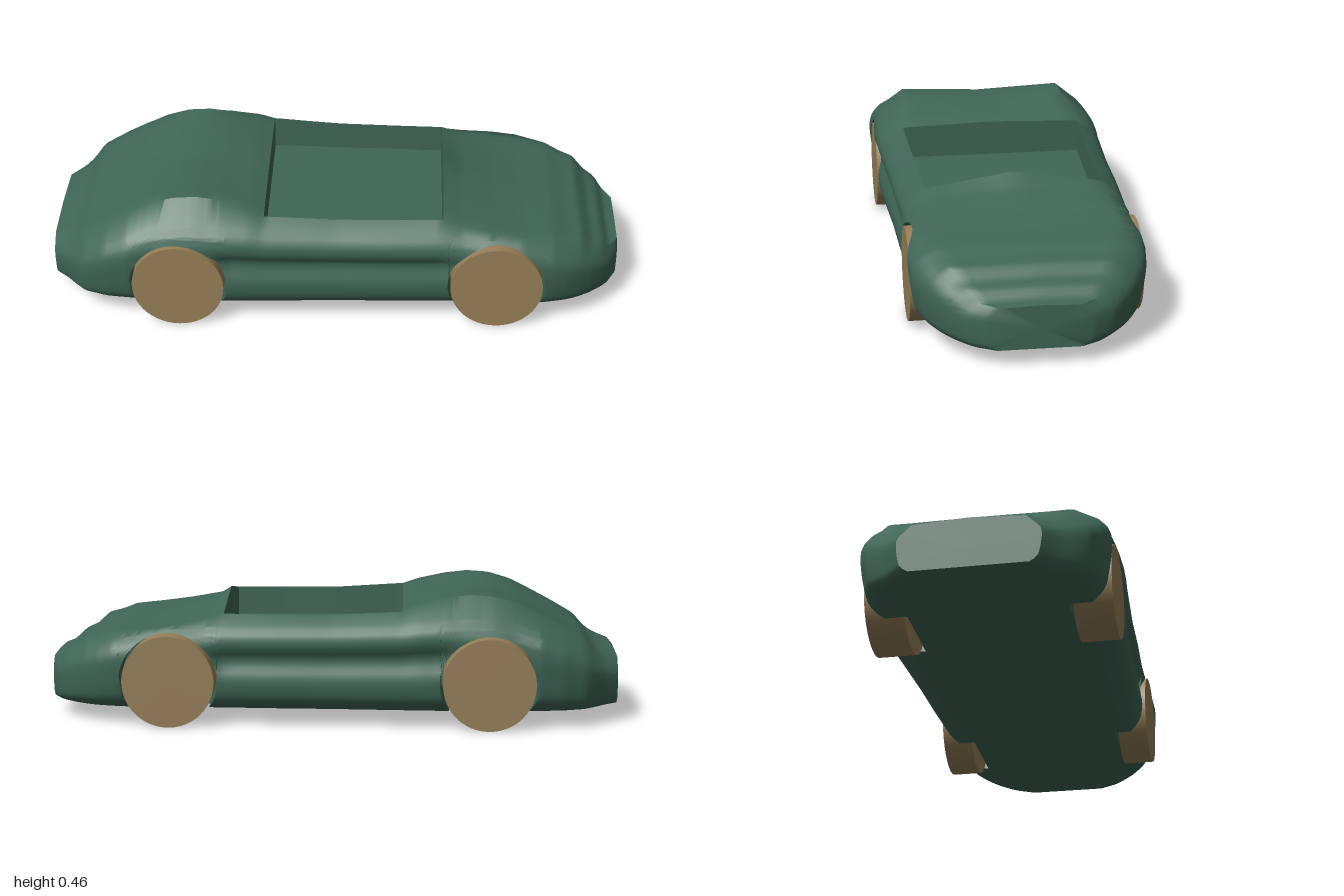
import * as THREE from 'three';
import { toCreasedNormals } from 'three/addons/utils/BufferGeometryUtils.js';

const BOTTOM = 0.06, FLOOR = 0.285, ARCH_R = 0.17, ARCH_Z = 0.27, AXLE_Y = 0.16;
const WHEELS = [
  { name: 'rear', x: -0.545, outer: 0.415 },
  { name: 'front', x: 0.565, outer: 0.39 },
];

// Piecewise linear lookup in column c of a key table
function look(table, t, c = 1) {
  let i = 1;
  while (i < table.length - 1 && table[i][0] < t) i++;
  const a = table[i - 1], b = table[i];
  const f = THREE.MathUtils.clamp((t - a[0]) / (b[0] - a[0]), 0, 1);
  return a[c] + (b[c] - a[c]) * f;
}

// Stations: x, half width, shoulder height, deck edge height, deck centre height
const STATIONS = [
  [-1, 0.235, 0.20, 0.225, 0.235],
  [-0.95, 0.285, 0.215, 0.24, 0.248],
  [-0.92, 0.325, 0.23, 0.255, 0.262],
  [-0.88, 0.37, 0.26, 0.298, 0.302],
  [-0.8, 0.405, 0.31, 0.345, 0.34],
  [-0.72, 0.42, 0.345, 0.388, 0.38],
  [-0.64, 0.413, 0.37, 0.428, 0.415],
  [-0.56, 0.418, 0.385, 0.452, 0.436],
  [-0.48, 0.42, 0.388, 0.457, 0.44],
  [-0.4, 0.42, 0.385, 0.447, 0.437],
  [-0.3, 0.417, 0.378, 0.422, 0.428],
  [-0.245, 0.413, 0.37, 0.402, 0.412],
  [0, 0.4, 0.36, 0.388, 0.4],
  [0.2, 0.395, 0.358, 0.387, 0.4],
  [0.375, 0.387, 0.356, 0.388, 0.437],
  [0.44, 0.388, 0.35, 0.368, 0.395],
  [0.55, 0.4, 0.34, 0.347, 0.358],
  [0.65, 0.406, 0.325, 0.333, 0.337],
  [0.76, 0.388, 0.302, 0.323, 0.325],
  [0.81, 0.37, 0.282, 0.305, 0.307],
  [0.86, 0.342, 0.265, 0.295, 0.298],
  [0.9, 0.312, 0.24, 0.258, 0.262],
  [0.94, 0.272, 0.22, 0.243, 0.248],
  [0.965, 0.24, 0.195, 0.212, 0.216],
  [1, 0.165, 0.185, 0.205, 0.21],
];
// Flank shape: height fraction, width on fenders, width on doors
const FLANK = [
  [0, 0.83, 0.85], [0.08, 0.91, 0.93], [0.18, 0.955, 0.97], [0.32, 0.975, 0.985],
  [0.42, 0.985, 0.975], [0.52, 0.993, 0.94], [0.62, 1, 0.935], [0.72, 1, 0.985],
  [0.8, 0.995, 1], [0.9, 0.965, 0.98], [1, 0.9, 0.91],
];

// Half cross-section from the bottom centre, round the flank, to the top centre
function halfSection({ x, wheel, cockpit }) {
  const [W, ys, yr, yc] = [1, 2, 3, 4].map((c) => look(STATIONS, x, c));
  const door = THREE.MathUtils.smoothstep(0.5 - Math.abs(x), 0, 0.15);
  const width = (y) => {
    const t = (y - BOTTOM) / (ys - BOTTOM);
    return W * THREE.MathUtils.lerp(look(FLANK, t, 1), look(FLANK, t, 2), door);
  };
  let low = BOTTOM, inner = width(BOTTOM);
  if (wheel) {
    const dx = x - wheel.x;
    low = Math.min(AXLE_Y + Math.sqrt(Math.max(0, ARCH_R ** 2 - dx ** 2)), ys - 0.006);
    inner = ARCH_Z;
  }
  const pts = [[0, BOTTOM], [inner, BOTTOM], [inner, low]];
  const n = 18;
  for (let i = 0; i <= n; i++) {
    const y = low + (ys - low) * i / n;
    pts.push([width(y), y]);
  }
  const hump = THREE.MathUtils.smoothstep(-x, 0.245, 0.45);
  const rim = Math.min(0.325 - 0.03 * hump, 0.79 * W);
  pts.push([rim, yr]);
  for (let i = 0; i <= 6; i++) {
    const f = i / 6;
    pts.push([rim * (1 - f), cockpit ? FLOOR : yr + (yc - yr) * f]);
  }
  return pts;
}

// Curve the lower arch edges in around each tyre
function wrapArch(x, y) {
  for (const w of WHEELS) {
    const d = Math.abs(x - w.x) - ARCH_R;
    if (d > -1e-4 && d < 0.1 && y < AXLE_Y) {
      const pull = ARCH_R - Math.sqrt(ARCH_R ** 2 - (AXLE_Y - y) ** 2);
      return x - Math.sign(x - w.x) * pull * (1 - Math.max(0, d) / 0.1);
    }
  }
  return x;
}

function bodyGeometry() {
  // Segments along the car; doubled columns make the arch and cockpit walls
  const columns = [];
  const segment = (a, b, n, extra = {}) => {
    for (let i = 0; i <= n; i++) {
      const f = extra.wheel ? (1 - Math.cos(Math.PI * i / n)) / 2 : i / n;
      columns.push({ x: a + (b - a) * f, ...extra });
    }
  };
  const [rear, front] = WHEELS;
  segment(-1, rear.x - ARCH_R, 20);
  segment(rear.x - ARCH_R, rear.x + ARCH_R, 24, { wheel: rear });
  segment(rear.x + ARCH_R, -0.245, 8);
  segment(-0.245, 0.375, 24, { cockpit: true });
  segment(0.375, front.x - ARCH_R, 2);
  segment(front.x - ARCH_R, front.x + ARCH_R, 24, { wheel: front });
  segment(front.x + ARCH_R, 1, 24);

  const rings = columns.map((col) => {
    const half = halfSection(col);
    const other = half.slice(1, -1).reverse().map(([z, y]) => [-z, y]);
    return [...half, ...other].map(([z, y]) => new THREE.Vector3(wrapArch(col.x, y), y, z));
  });
  // Flat end caps
  const cap = (x) => rings[0].map(() => new THREE.Vector3(x, 0.13, 0));
  rings.unshift(cap(-1));
  rings.push(cap(1));

  const pos = [], ab = new THREE.Vector3(), ac = new THREE.Vector3();
  const tri = (a, b, c) => {
    const area = ab.subVectors(b, a).cross(ac.subVectors(c, a)).length();
    if (area > 1e-8) for (const p of [a, b, c]) pos.push(p.x, p.y, p.z);
  };
  for (let i = 0; i < rings.length - 1; i++) {
    const A = rings[i], B = rings[i + 1];
    for (let j = 0; j < A.length; j++) {
      const k = (j + 1) % A.length;
      tri(A[j], B[j], B[k]);
      tri(A[j], B[k], A[k]);
    }
  }
  const geo = new THREE.BufferGeometry();
  geo.setAttribute('position', new THREE.Float32BufferAttribute(pos, 3));
  return toCreasedNormals(geo, 0.7);
}

export function createModel() {
  const green = new THREE.MeshStandardMaterial({ color: 0x3f6656 });
  green.name = 'body green';
  const tan = new THREE.MeshStandardMaterial({ color: 0x967f59 });
  tan.name = 'wheel tan';

  const car = new THREE.Group();
  car.name = 'openCar';

  // Shell with cockpit and wheel arches
  const body = new THREE.Mesh(bodyGeometry(), green);
  body.name = 'body';
  car.add(body);

  // Plain disc wheels
  for (const w of WHEELS) {
    const depth = w.outer - 0.283;
    const geo = new THREE.CylinderGeometry(0.16, 0.16, depth, 48).rotateX(Math.PI / 2);
    for (const side of [1, -1]) {
      const wheel = new THREE.Mesh(geo, tan);
      wheel.name = w.name + (side > 0 ? 'WheelNear' : 'WheelFar');
      wheel.position.set(w.x, AXLE_Y, side * (w.outer - depth / 2));
      car.add(wheel);
    }
  }
  return car;
}
